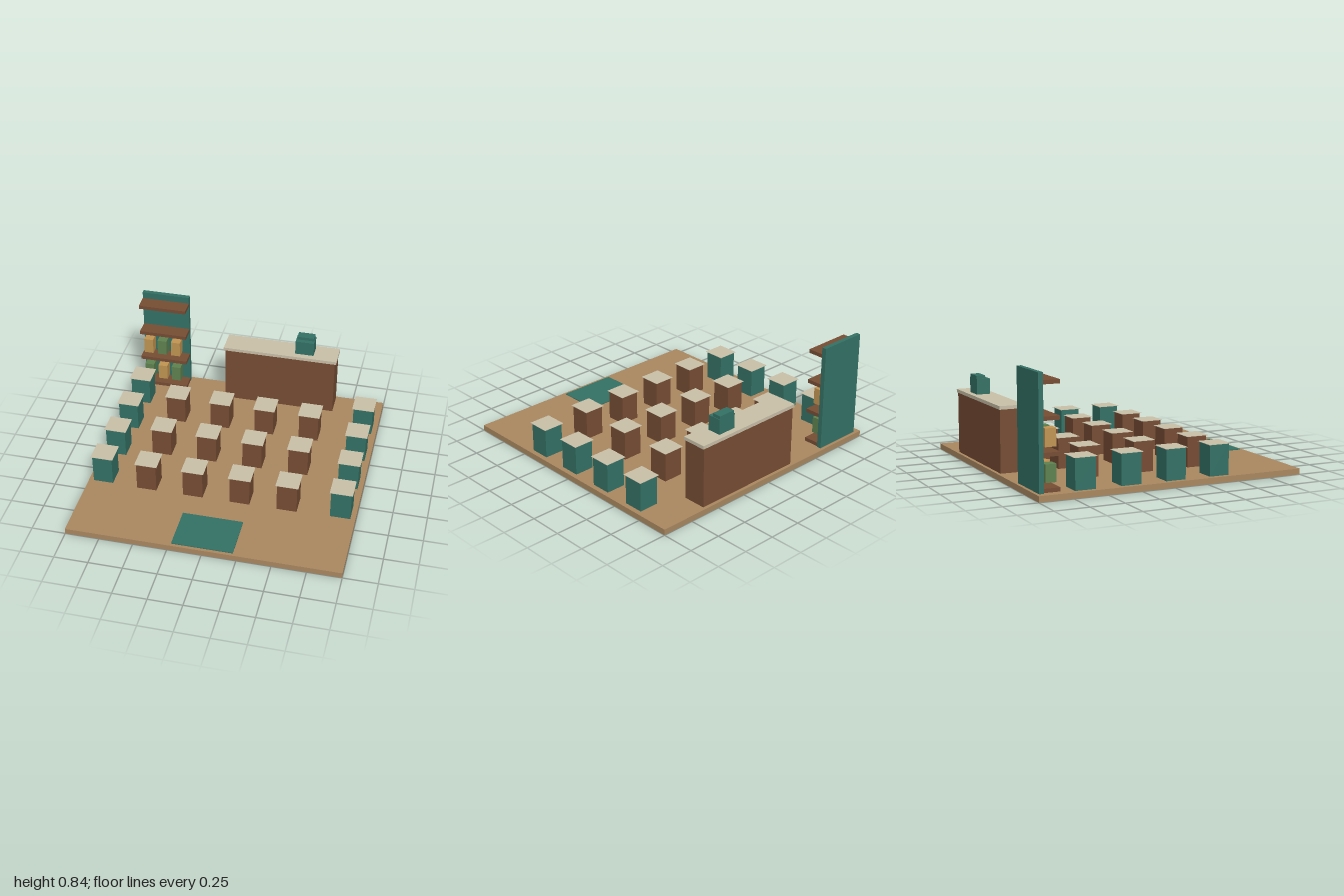
import * as THREE from 'three';

const material = (name, color) => {
  const m = new THREE.MeshStandardMaterial({ color });
  m.name = name;
  return m;
};

export function createModel() {
  const model = new THREE.Group();
  model.name = 'shopInterior';

  const wood = material('lightWood', 0xab8961);
  const brown = material('darkWood', 0x774d34);
  const teal = material('teal', 0x347266);
  const cream = material('cream', 0xcac1a9);
  const tan = material('tan', 0xc29653);
  const green = material('green', 0x5f8350);

  // Box given by its extents along each axis
  const box = (parent, name, mat, [x0, x1], [y0, y1], [z0, z1]) => {
    const mesh = new THREE.Mesh(new THREE.BoxGeometry(x1 - x0, y1 - y0, z1 - z0), mat);
    mesh.position.set((x0 + x1) / 2, (y0 + y1) / 2, (z0 + z1) / 2);
    mesh.name = name;
    parent.add(mesh);
  };
  const group = (name) => {
    const g = new THREE.Group();
    g.name = name;
    model.add(g);
    return g;
  };
  const around = (c, size) => [c - size / 2, c + size / 2];

  const FLOOR = 0.043;
  box(model, 'floor', wood, [-1, 1], [0, FLOOR], [-1, 1]);
  box(model, 'entranceMat', teal, [-0.223, 0.223], [FLOOR, 0.049], [0.648, 0.977]);

  // Block with a thin overhanging top
  const addBlock = (name, mat, x, z) => {
    const g = group(name);
    box(g, 'blockBody', mat, around(x, 0.148), [FLOOR, 0.265], around(z, 0.149));
    box(g, 'blockTop', cream, around(x, 0.167), [0.265, 0.268], around(z, 0.169));
  };

  // Brown blocks in the middle, teal ones along both sides
  for (const z of [-0.475, -0.051, 0.373]) {
    for (let i = 0; i < 4; i++) addBlock('table', brown, -0.552 + i * 0.35, z);
  }
  for (let i = 0; i < 4; i++) {
    for (const side of [-1, 1]) addBlock('sideSeat', teal, side * 0.889, -0.651 + i * 0.338);
  }

  // Counter
  const counter = group('counter');
  box(counter, 'counterBody', brown, [-0.251, 0.62], [FLOOR, 0.497], [-0.976, -0.8]);
  box(counter, 'counterTop', cream, [-0.262, 0.631], [0.496, 0.521], [-0.983, -0.795]);

  // Machine on the counter
  const machine = group('counterMachine');
  box(machine, 'machineBody', teal, [0.299, 0.444], [0.521, 0.634], [-0.942, -0.841]);
  box(machine, 'machineTop', teal, [0.307, 0.438], [0.634, 0.658], [-0.942, -0.874]);

  // Shelving unit
  const shelving = group('shelving');
  box(shelving, 'backPanel', teal, [-0.952, -0.578], [FLOOR, 0.842], [-0.977, -0.943]);
  for (let i = 0; i < 4; i++) {
    box(shelving, 'shelf', brown, [-0.952, -0.578], around(0.062 + i * 0.238, 0.028), [-0.943, -0.826]);
  }

  // Two rows of goods in alternating colours
  for (let row = 0; row < 2; row++) {
    for (let i = 0; i < 3; i++) {
      const mat = (row + i) % 2 ? tan : green;
      box(shelving, 'package', mat, around(-0.89 + i * 0.11, 0.073),
        around(0.169 + row * 0.238, 0.124), [-0.922, -0.843]);
    }
  }

  return model;
}
